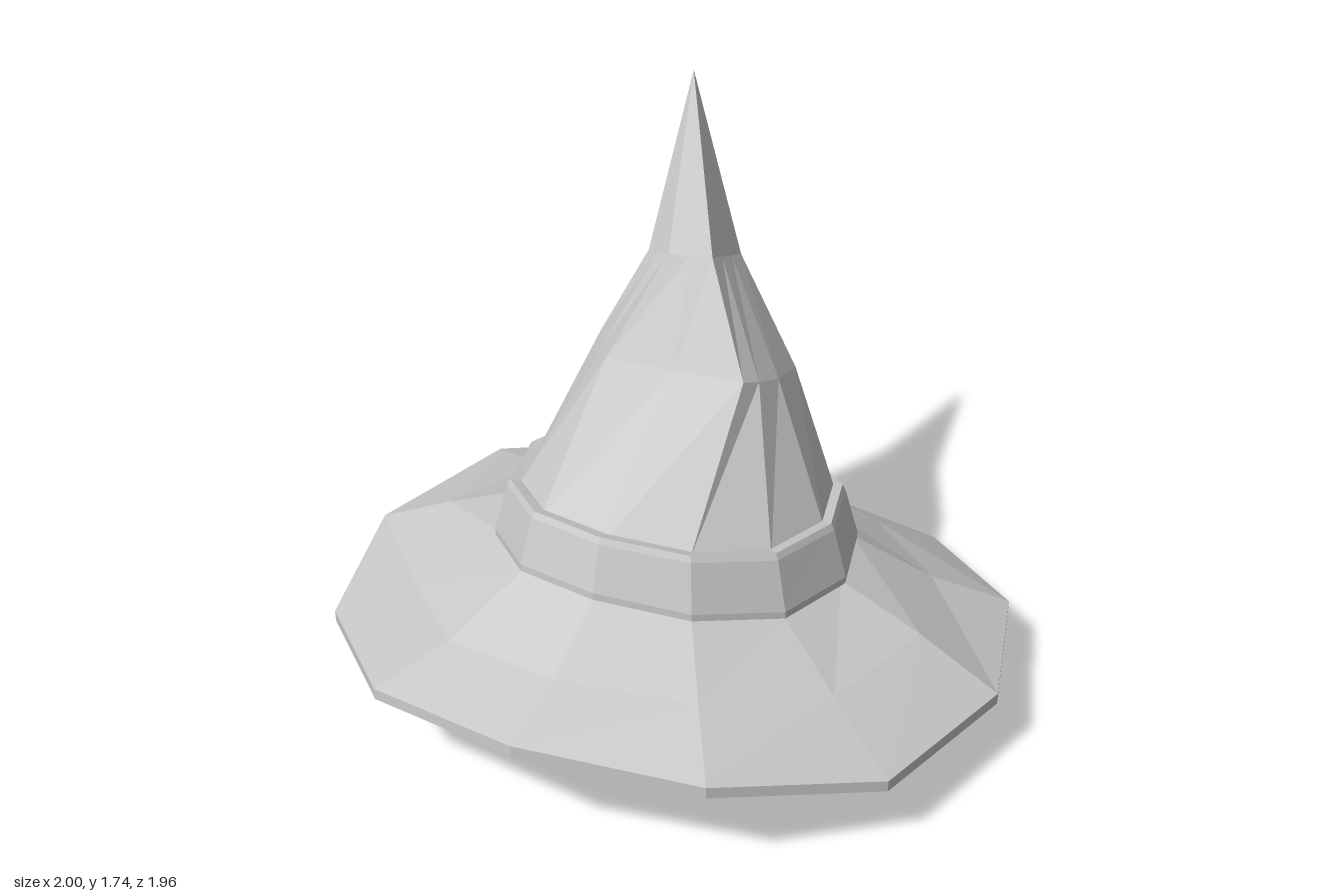
import * as THREE from 'three';

const N = 12;
const material = new THREE.MeshStandardMaterial({ color: 0xcccccc, flatShading: true });

// Tilted, slightly wavy ring. Angles start at the front and run to the left side.
function ring(r, y, wave = 0.015) {
  return Array.from({ length: N }, (_, k) => {
    const a = (k / N) * Math.PI * 2;
    const z = Math.cos(a) * r - 0.015;
    return [Math.sin(a) * r, y + 0.2 * z + wave * Math.cos(3 * a), z];
  });
}

// Brim ring with a given height at each corner
function brimRing(r, heights, drop = 0) {
  return heights.map((y, k) => {
    const a = (k / N) * Math.PI * 2;
    return [Math.sin(a) * r, y - drop, Math.cos(a) * r * 0.98];
  });
}

// Ring through a few corners (index: point); the rest lie on straight lines between them
function facetRing(corners) {
  const keys = Object.keys(corners).map(Number).sort((a, b) => a - b);
  const out = [];
  keys.forEach((k, i) => {
    const next = keys[(i + 1) % keys.length];
    const span = (next - k + N) % N;
    for (let s = 0; s < span; s++) {
      out[(k + s) % N] = corners[k].map((v, j) => v + (corners[next][j] - v) * (s / span));
    }
  });
  return out;
}

// Six-sided ring for the head opening
function hexRing(r, y) {
  return facetRing(Object.fromEntries([0, 2, 4, 6, 8, 10].map((k) => {
    const a = ((k + 0.5) / N) * Math.PI * 2;
    const z = r * Math.cos(a);
    return [k, [r * Math.sin(a), y + 0.22 * z, z]];
  })));
}

const point = (...p) => Array.from({ length: N }, () => p);

// Skin a list of rings
function loft(name, rings) {
  const index = [];
  for (let i = 0; i < rings.length - 1; i++) {
    for (let k = 0; k < N; k++) {
      const a = i * N + k, b = i * N + ((k + 1) % N);
      index.push(a, b, b + N, a, b + N, a + N);
    }
  }
  const geometry = new THREE.BufferGeometry();
  geometry.setAttribute('position', new THREE.Float32BufferAttribute(rings.flat(2), 3));
  geometry.setIndex(index);
  geometry.computeVertexNormals();
  const mesh = new THREE.Mesh(geometry, material);
  mesh.name = name;
  return mesh;
}

export function createModel() {
  const hat = new THREE.Group();
  hat.name = 'pointedHat';

  // Brim: inner lining, six-sided head opening, underside, edge and upper side
  const edge = [0.43, 0.375, 0.255, 0.24, 0.185, 0.075, 0.035, 0.15, 0.23, 0.235, 0.245, 0.345];
  const middle = [0.48, 0.46, 0.38, 0.37, 0.29, 0.23, 0.22, 0.25, 0.3, 0.36, 0.33, 0.41];
  hat.add(loft('brim', [
    point(-0.04, 0.95, -0.15),
    hexRing(0.37, 0.65),
    hexRing(0.45, 0.345),
    brimRing(1, edge, 0.035),
    brimRing(1, edge),
    brimRing(0.76, middle),
    ring(0.51, 0.47, 0.02),
  ]));

  // Band with a thin lower lip and a flat top rim
  hat.add(loft('band', [
    ring(0.505, 0.46, 0.02),
    ring(0.525, 0.462, 0.02),
    ring(0.525, 0.484, 0.02),
    ring(0.485, 0.633),
    ring(0.475, 0.652),
    ring(0.44, 0.648),
  ]));

  // Crown: faceted cone bending backward to its tip
  hat.add(loft('crown', [
    ring(0.455, 0.63),
    facetRing({
      1: [0.22, 1.065, 0.03], 2: [0.24, 1.04, -0.03], 3: [0.255, 1.0, -0.13],
      4: [0.24, 0.95, -0.285], 6: [0.0, 0.84, -0.41], 8: [-0.22, 0.89, -0.33],
      9: [-0.31, 1.0, -0.15], 11: [-0.18, 1.06, 0.07],
    }),
    facetRing({
      1: [0.05, 1.33, -0.13], 4: [0.05, 1.25, -0.32], 6: [-0.08, 1.26, -0.385],
      8: [-0.15, 1.27, -0.32], 9: [-0.17, 1.28, -0.18], 11: [-0.07, 1.33, -0.1],
    }),
    point(-0.145, 1.735, -0.415),
  ]));

  return hat;
}
